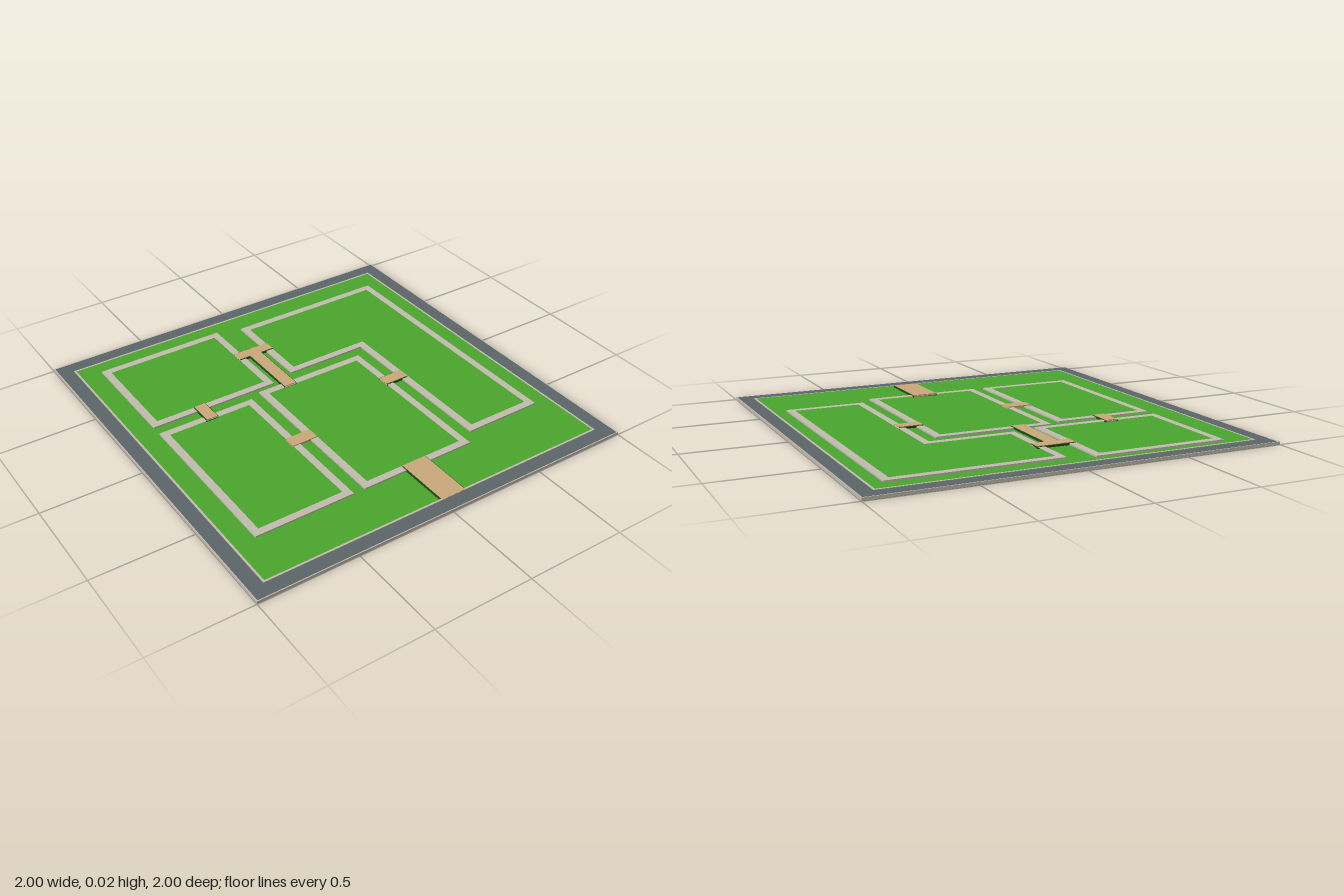
import * as THREE from 'three';

const mat = (name, color) => Object.assign(new THREE.MeshStandardMaterial({ color }), { name });

export function createModel() {
  const model = new THREE.Group();
  model.name = 'walledGarden';
  const grass = mat('grass green', 0x4aa62d);
  const stone = mat('pale stone', 0xc4bcb0);
  const slate = mat('slate grey', 0x5c6769);
  const wood = mat('tan path', 0xcbaa7a);
  const shade = mat('dark green edging', 0x1f4a18);

  // Box given by its limits
  const slab = (name, m, x0, x1, z0, z1, y0, y1) => {
    const mesh = new THREE.Mesh(new THREE.BoxGeometry(x1 - x0, y1 - y0, z1 - z0), m);
    mesh.position.set((x0 + x1) / 2, (y0 + y1) / 2, (z0 + z1) / 2);
    mesh.name = name;
    model.add(mesh);
  };

  // Raised ring between two outlines of [x, z] points
  const ring = (name, m, outer, inner, y0, y1) => {
    const pts = (list) => list.map(([x, z]) => new THREE.Vector2(x, -z));
    const shape = new THREE.Shape(pts(outer));
    shape.holes.push(new THREE.Path(pts(inner)));
    const geo = new THREE.ExtrudeGeometry(shape, { depth: y1 - y0, bevelEnabled: false });
    geo.rotateX(-Math.PI / 2).translate(0, y0, 0);
    const mesh = new THREE.Mesh(geo, m);
    mesh.name = name;
    model.add(mesh);
  };
  const rect = (x0, x1, z0, z1) => [[x0, z0], [x1, z0], [x1, z1], [x0, z1]];
  const square = (r) => rect(-r, r, -r, r);

  // Lawn
  slab('lawn', grass, -0.999, 0.999, -0.999, 0.999, 0, 0.003);

  // Boundary wall: slate walk between two stone kerbs
  ring('boundaryWalk', slate, square(0.995), square(0.923), 0.003, 0.013);
  ring('outerKerb', stone, square(1), square(0.995), 0.001, 0.015);
  ring('innerKerb', stone, square(0.923), square(0.913), 0.003, 0.015);

  // Rectangular room walls
  const t = 0.037;
  const rooms = [
    [-0.805, -0.13, -0.845, -0.268],
    [-0.805, -0.295, -0.21, 0.665],
    [-0.235, 0.37, -0.24, 0.665],
  ];
  for (const [x0, x1, z0, z1] of rooms) {
    ring('roomWall', stone, rect(x0, x1, z0, z1), rect(x0 + t, x1 - t, z0 + t, z1 - t), 0.003, 0.011);
  }

  // L-shaped room wall
  ring('cornerRoomWall', stone,
    [[-0.005, -0.807], [0.84, -0.807], [0.84, 0.597], [0.43, 0.597], [0.43, -0.3], [-0.005, -0.3]],
    [[0.032, -0.77], [0.803, -0.77], [0.803, 0.56], [0.467, 0.56], [0.467, -0.337], [0.032, -0.337]],
    0.003, 0.011);

  // Paths: limits, then edging width on the x and z sides
  const paths = [
    ['entrancePath', 0, 0.128, 0.632, 0.922, 0.004, 0],
    ['leftRoomsPath', -0.565, -0.507, -0.303, -0.177, 0.004, 0],
    ['frontRoomsPath', -0.333, -0.2, 0.163, 0.23, 0, 0],
    ['rightRoomsPath', 0.335, 0.46, 0, 0.06, 0, 0.004],
    ['backRoomsPath', -0.163, 0.033, -0.603, -0.545, 0, 0.004],
    ['backStemPath', -0.102, -0.038, -0.546, -0.207, 0.004, 0],
  ];
  for (const [name, x0, x1, z0, z1, ex, ez] of paths) {
    slab(name, wood, x0, x1, z0, z1, 0.003, 0.0155);
    if (ex || ez) slab(name + 'Edging', shade, x0 - ex, x1 + ex, z0 - ez, z1 + ez, 0.0025, 0.013);
  }
  return model;
}
